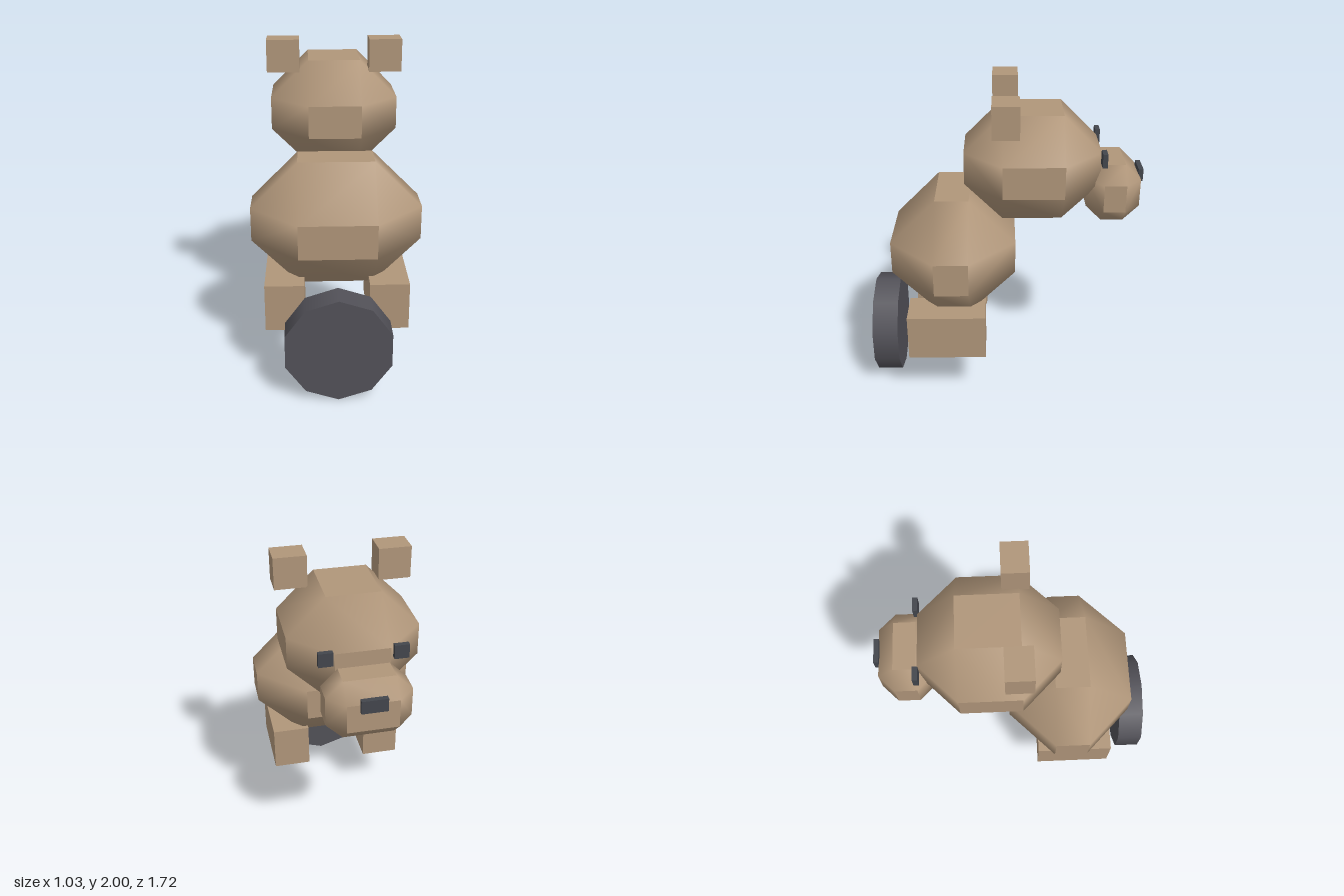
import * as THREE from 'three';

const fur = new THREE.MeshStandardMaterial({ color: 0xb0967a });
const tailGrey = new THREE.MeshStandardMaterial({ color: 0x525158 });
const dark = new THREE.MeshStandardMaterial({ color: 0x43464d });

// Box with every edge and corner cut by r: flat plates, softly shaded chamfers.
function chamferedBox(core, r) {
  const pos = [], index = [];
  // Corner of the plate facing `axis`, in the octant given by signs s
  const point = (axis, s) => core.map((c, i) => s[i] * (c + (i === axis ? r : 0)));
  const addVertex = (p) => pos.push(...p) / 3 - 1;
  const shared = new Map();
  const sharedVertex = (axis, s) => {
    const key = axis + ':' + s.join();
    if (!shared.has(key)) shared.set(key, addVertex(point(axis, s)));
    return shared.get(key);
  };
  const at = (i) => new THREE.Vector3().fromArray(pos, i * 3);
  // Add a triangle, turned to face away from the centre
  const tri = (a, b, c) => {
    const A = at(a), B = at(b), C = at(c);
    const n = B.clone().sub(A).cross(C.clone().sub(A));
    index.push(...(n.dot(A.add(B).add(C)) > 0 ? [a, b, c] : [a, c, b]));
  };
  const quad = (a, b, c, d) => { tri(a, b, c); tri(a, c, d); };
  const signs = (axis, sa, u, su, v, sv) => {
    const s = [];
    s[axis] = sa; s[u] = su; s[v] = sv;
    return s;
  };

  for (let a = 0; a < 3; a++) {
    const u = (a + 1) % 3, v = (a + 2) % 3;
    for (const s of [1, -1]) {
      // Flat plate with its own vertices
      const ring = [[1, 1], [-1, 1], [-1, -1], [1, -1]];
      quad(...ring.map(([p, q]) => addVertex(point(a, signs(a, s, u, p, v, q)))));
      // Chamfers between the plates on axes a and u, running along v
      for (const t of [1, -1]) {
        const s0 = signs(a, s, u, t, v, 1), s1 = signs(a, s, u, t, v, -1);
        quad(sharedVertex(a, s0), sharedVertex(a, s1), sharedVertex(u, s1), sharedVertex(u, s0));
      }
    }
  }
  // Corner triangles
  for (const x of [1, -1]) for (const y of [1, -1]) for (const z of [1, -1]) {
    tri(...[0, 1, 2].map((axis) => sharedVertex(axis, [x, y, z])));
  }

  const geo = new THREE.BufferGeometry();
  geo.setAttribute('position', new THREE.Float32BufferAttribute(pos, 3));
  geo.setIndex(index);
  geo.computeVertexNormals();
  return geo;
}

export function createModel() {
  const model = new THREE.Group();
  model.name = 'blockAnimal';

  const add = (name, geo, mat, x, y, z) => {
    const mesh = new THREE.Mesh(geo, mat);
    mesh.name = name;
    mesh.position.set(x, y, z);
    model.add(mesh);
    return mesh;
  };
  const box = (w, h, d) => new THREE.BoxGeometry(w, h, d);

  // Rounded masses
  add('body', chamferedBox([0.23, 0.105, 0.105], 0.286), fur, 0, 0.955, 0.322);
  add('head', chamferedBox([0.16, 0.1, 0.183], 0.232), fur, 0, 1.532, -0.17);
  add('muzzle', chamferedBox([0.149, 0.087, 0.067], 0.098), fur, 0, 1.365, -0.67);
  add('nose', box(0.15, 0.08, 0.03), dark, 0, 1.45, -0.845);

  // Paired parts
  for (const [side, s] of [['left', 1], ['right', -1]]) {
    add(side + 'Ear', box(0.197, 0.197, 0.16), fur, s * 0.311, 1.902, -0.007);
    add(side + 'Eye', box(0.085, 0.085, 0.03), dark, s * 0.215, 1.615, -0.595);
    add(side + 'Foot', box(0.24, 0.298, 0.493), fur, s * 0.316, 0.483, 0.367);
  }

  // Ten-sided disc tail
  const tail = add('tail', new THREE.CylinderGeometry(0.33, 0.33, 0.164, 10), tailGrey, 0, 0.332, 0.78);
  tail.rotation.x = Math.PI / 2;

  return model;
}
